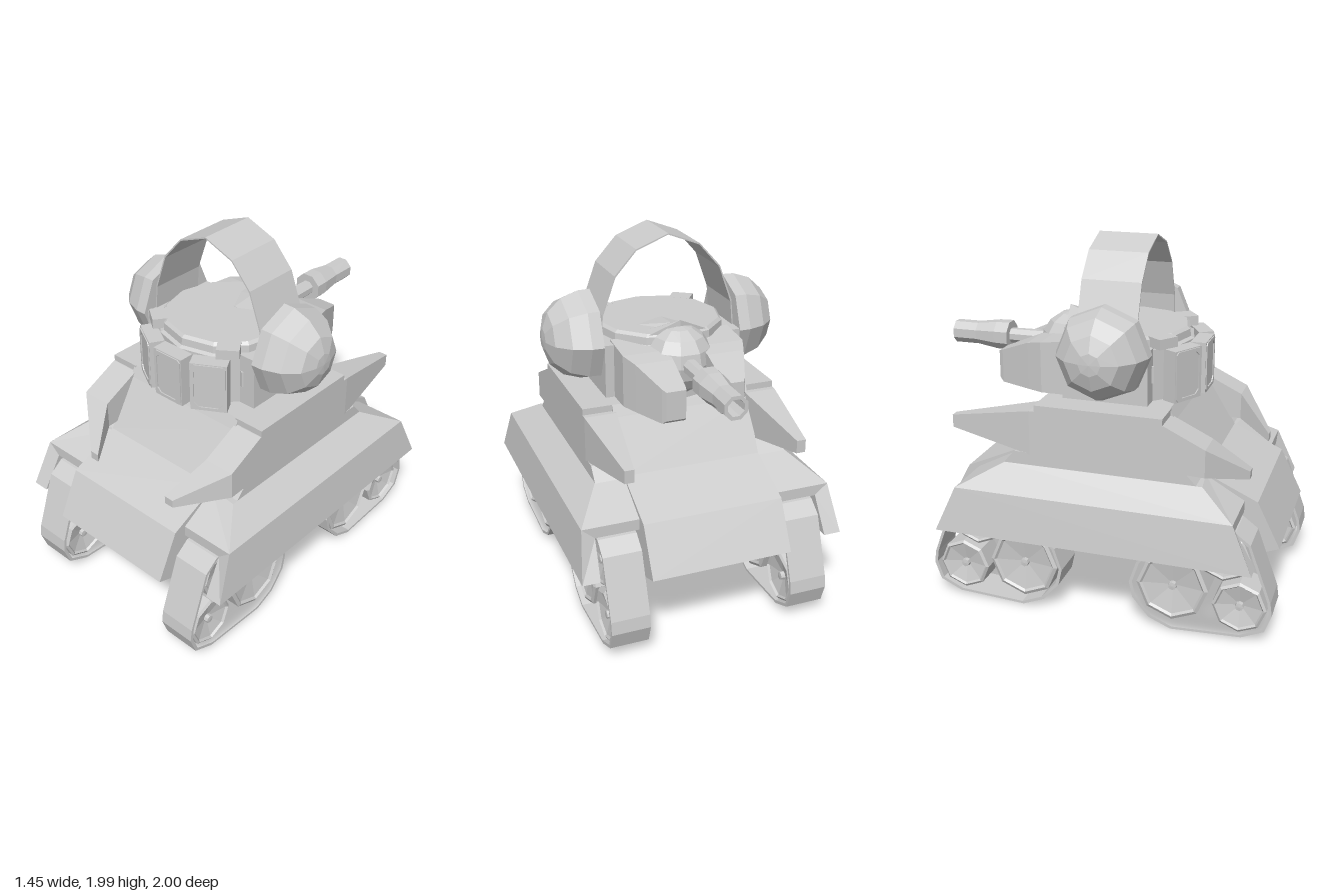
import * as THREE from 'three';

const solid = new THREE.MeshStandardMaterial({ color: 0xcccccc, flatShading: true });
const open = new THREE.MeshStandardMaterial({ color: 0xcccccc, flatShading: true, side: THREE.DoubleSide });
const V = (x, y) => new THREE.Vector2(x, y);

function add(parent, name, geo, mat = solid) {
  const m = new THREE.Mesh(geo, mat);
  m.name = name;
  parent.add(m);
  return m;
}

// Mirrors a geometry across x = 0 and restores its winding
function mirrored(geo) {
  const g = geo.index ? geo.toNonIndexed() : geo.clone();
  g.scale(-1, 1, 1);
  const p = g.attributes.position;
  const a = new THREE.Vector3(), b = new THREE.Vector3();
  for (let i = 0; i < p.count; i += 3) {
    a.fromBufferAttribute(p, i + 1);
    b.fromBufferAttribute(p, i + 2);
    p.setXYZ(i + 1, b.x, b.y, b.z);
    p.setXYZ(i + 2, a.x, a.y, a.z);
  }
  g.computeVertexNormals();
  return g;
}

function addPair(parent, name, geo, mat) {
  add(parent, name + 'Left', geo, mat);
  add(parent, name + 'Right', mirrored(geo), mat);
}

// Skins counter-clockwise rings of [x, y, z], ordered front to back, and caps both ends
function skin(rings) {
  const pos = [];
  const tri = (...pts) => pts.forEach(p => pos.push(...p));
  for (let r = 0; r < rings.length - 1; r++) {
    const a = rings[r], b = rings[r + 1];
    a.forEach((_, i) => {
      const j = (i + 1) % a.length;
      tri(a[i], b[i], b[j]);
      tri(a[i], b[j], a[j]);
    });
  }
  const cap = (ring, back) => {
    THREE.ShapeUtils.triangulateShape(ring.map(p => V(p[0], p[1])), []).forEach(([i, j, k]) =>
      back ? tri(ring[i], ring[k], ring[j]) : tri(ring[i], ring[j], ring[k]));
  };
  cap(rings[0], false);
  cap(rings[rings.length - 1], true);
  const g = new THREE.BufferGeometry();
  g.setAttribute('position', new THREE.Float32BufferAttribute(pos, 3));
  g.computeVertexNormals();
  return g;
}

// Rectangular sections: [z, x0, x1, y0, y1]
const loft = sections => skin(sections.map(([z, x0, x1, y0, y1]) =>
  [[x0, y0, z], [x1, y0, z], [x1, y1, z], [x0, y1, z]]));

const box = (x0, x1, y0, y1, z0, z1) => new THREE.BoxGeometry(x1 - x0, y1 - y0, z1 - z0)
  .translate((x0 + x1) / 2, (y0 + y1) / 2, (z0 + z1) / 2);

// Extrudes a (z, y) outline across x
function sideExtrude(shape, x0, x1) {
  return new THREE.ExtrudeGeometry(shape, { depth: x1 - x0, bevelEnabled: false })
    .rotateY(-Math.PI / 2).translate(x1, 0, 0);
}

const lathe = (pts, sides) => new THREE.LatheGeometry(pts.map(p => V(...p)), sides);

function buildHull(tank) {
  const profile = [[0.985, 0.45], [0.86, 0.7], [0.575, 0.83], [0.41, 1.1], [0.38, 1.16], [-0.31, 1.16],
    [-0.34, 1.1], [-0.49, 0.83], [-0.78, 0.7], [-0.915, 0.45], [-0.74, 0.385], [0.81, 0.385]];
  add(tank, 'hull', sideExtrude(new THREE.Shape(profile.map(p => V(...p))), -0.384, 0.384));

  // Upper side walls and their top ledges
  const wall = [[0.575, 0.81], [0.5, 0.89], [-0.43, 0.89], [-0.5, 0.81]];
  addPair(tank, 'sideWall', sideExtrude(new THREE.Shape(wall.map(p => V(...p))), 0.37, 0.543));
  addPair(tank, 'sideLedge', box(0.37, 0.545, 1.1, 1.16, -0.31, 0.385));

  // Spiked side wings, bent inward at the front
  addPair(tank, 'sideWing', loft([
    [0.8, 0.255, 0.31, 0.79, 0.835], [0.61, 0.37, 0.545, 0.87, 1.02], [0.39, 0.37, 0.545, 0.88, 1.125],
    [-0.34, 0.37, 0.545, 0.88, 1.125], [-0.81, 0.44, 0.49, 0.965, 1.035]]));

  // Fenders: [x, y, front z, back z]
  const f = [[0.38, 0.82, 0.58, -0.49], [0.38, 0.7, 0.79, -0.72], [0.38, 0.64, 0.79, -0.72],
    [0.62, 0.64, 0.79, -0.72], [0.63, 0.45, 0.9, -0.83], [0.725, 0.45, 0.9, -0.83],
    [0.69, 0.7, 0.79, -0.72], [0.545, 0.82, 0.6, -0.49]];
  addPair(tank, 'fender', skin([f.map(p => [p[0], p[1], p[2]]), f.map(p => [p[0], p[1], p[3]])]));
}

function buildTracks(tank) {
  const belt = [[0.995, 0.18], [0.96, 0.08], [0.84, 0.025], [0.46, 0.005], [0.34, 0.055], [0.25, 0.16],
    [0.23, 0.25], [0.27, 0.37], [0.36, 0.46], [0.6, 0.6], [0.7, 0.63], [0.79, 0.62], [0.87, 0.56], [0.985, 0.25]];
  const wheels = [[0.46, 0.245, 0.195], [0.82, 0.185, 0.145], [0.73, 0.465, 0.14]];
  for (const end of ['front', 'rear']) {
    const mapZ = z => (end === 'front' ? z : 0.08 - z);
    const outline = s => belt.map(([z, y]) => V(mapZ(0.62 + (z - 0.62) * s), 0.32 + (y - 0.32) * s));
    const shape = new THREE.Shape(outline(1));
    shape.holes.push(new THREE.Path(outline(0.955)));
    addPair(tank, end + 'TrackBelt', sideExtrude(shape, 0.397, 0.605));

    // Octagonal dished wheels with a small hub on each face
    for (const [z, y, r] of wheels) {
      const half = [[r * 0.9, 0.09], [r * 0.84, 0.078], [0.024, 0.055], [0.022, 0.078], [0, 0.08]];
      const pts = [...half.map(([a, b]) => [a, -b]).reverse(), [r, -0.08], [r, 0.08], ...half];
      addPair(tank, end + 'Wheel', lathe(pts, 8).rotateZ(-Math.PI / 2).translate(0.5, y, mapZ(z)), open);
    }
  }
}

// Front armour panel with a raised chamfered frame
function buildPanel(turret, angle) {
  const panel = new THREE.Group();
  panel.name = 'frontPanel';
  add(panel, 'panelBlock', new THREE.BoxGeometry(0.195, 0.28, 0.085).translate(0, 0, 0.415));
  const octagon = (w, h, c) => [V(w, h - c), V(w - c, h), V(c - w, h), V(-w, h - c),
    V(-w, c - h), V(c - w, -h), V(w - c, -h), V(w, c - h)];
  const frame = new THREE.Shape(octagon(0.092, 0.135, 0.015));
  frame.holes.push(new THREE.Path(octagon(0.076, 0.118, 0.025)));
  add(panel, 'panelFrame', new THREE.ExtrudeGeometry(frame, { depth: 0.012, bevelEnabled: false })
    .translate(0, 0, 0.452));
  panel.position.set(0, 1.305, 0.04);
  panel.rotation.y = angle;
  turret.add(panel);
}

function buildTurret(tank) {
  const turret = new THREE.Group();
  turret.name = 'turret';
  tank.add(turret);

  // Twelve-sided drum with a bevelled roof
  add(turret, 'turretDrum', lathe([[0, 1.15], [0.375, 1.15], [0.375, 1.44], [0.355, 1.45], [0.352, 1.49],
    [0.335, 1.505], [0, 1.505]], 12).translate(0, 0, 0.035));
  addPair(turret, 'turretCheek', box(0.25, 0.384, 1.16, 1.45, -0.21, 0.26));

  // Raised lip at the rear of the roof
  add(turret, 'roofLip', skin([
    [[-0.33, 1.49, -0.02], [0, 1.49, -0.02], [0.33, 1.49, -0.02], [0, 1.506, -0.02]],
    [[-0.17, 1.49, -0.17], [0, 1.49, -0.17], [0.17, 1.49, -0.17], [0, 1.52, -0.17]],
    [[-0.18, 1.49, -0.26], [0, 1.49, -0.3], [0.18, 1.49, -0.26], [0, 1.575, -0.3]]]));

  // Front panels, vent slots and small roof hatches
  for (const k of [-1, 0, 1]) buildPanel(turret, k * Math.PI / 6);
  for (const deg of [-56, -15, 15, 56]) {
    for (const s of [-0.014, 0.014]) {
      const slot = add(turret, 'ventSlot', new THREE.BoxGeometry(0.012, 0.09, 0.03).translate(s, 0, 0.37));
      slot.position.set(0, 1.31, 0.04);
      slot.rotation.y = deg * Math.PI / 180;
    }
  }
  addPair(turret, 'roofHatch', new THREE.BoxGeometry(0.12, 0.055, 0.1)
    .translate(0, 1.478, 0.32).rotateY(0.62).translate(0.06, 0, 0.04));

  // Faceted side domes
  const dome = [[0, 0.385], [0.25, 0.385], [0.248, 0.45], [0.215, 0.545], [0.145, 0.62], [0.06, 0.65], [0, 0.655]];
  addPair(turret, 'sideDome', lathe(dome, 8).rotateZ(-Math.PI / 2).translate(0, 1.44, 0.035), open);

  // Thin overhead arch between the domes
  const half = [[0.385, 1.42], [0.37, 1.59], [0.297, 1.79], [0.178, 1.922]];
  const outer = [...half, [0, 1.99], ...half.map(([x, y]) => [-x, y]).reverse()];
  const inner = outer.map(([x, y]) => [x * 0.982, y - 0.007]).reverse();
  add(turret, 'overheadArch', new THREE.ExtrudeGeometry(
    new THREE.Shape([...outer, ...inner].map(p => V(...p))), { depth: 0.325, bevelEnabled: false })
    .translate(0, 0, -0.125), open);

  // Tapered pods on both sides of the gun
  addPair(turret, 'gunPod', loft([[-0.15, 0.09, 0.335, 1.16, 1.46], [-0.35, 0.09, 0.335, 1.16, 1.44],
    [-0.44, 0.095, 0.3, 1.16, 1.42], [-0.62, 0.1, 0.225, 1.16, 1.345], [-0.645, 0.105, 0.21, 1.18, 1.335]]));

  // Gun mount dome, slender barrel and hollow octagonal muzzle
  add(turret, 'gunMount', new THREE.SphereGeometry(0.185, 10, 8).translate(0, 1.36, -0.28));
  const barrel = [[0, 0.33], [0.047, 0.33], [0.043, 0.66], [0.086, 0.66], [0.084, 0.74], [0.066, 0.86],
    [0.066, 1], [0.046, 1], [0.04, 0.88], [0, 0.88]];
  add(turret, 'gunBarrel', lathe(barrel, 8).rotateX(-Math.PI / 2).rotateZ(Math.PI / 8)
    .translate(0, 1.367, 0), open);
}

export function createModel() {
  const tank = new THREE.Group();
  tank.name = 'tank';
  buildHull(tank);
  buildTracks(tank);
  buildTurret(tank);
  return tank;
}
